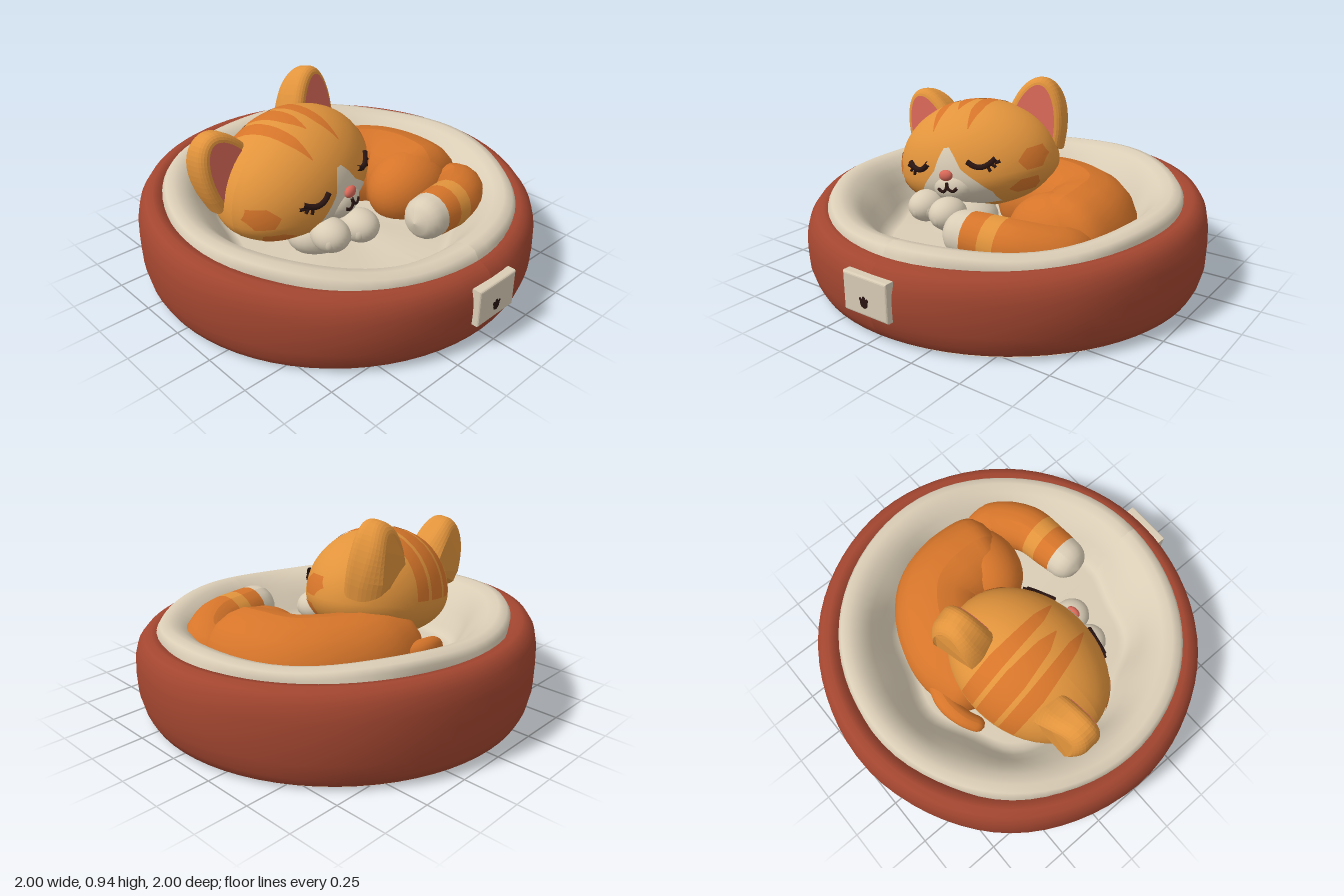
import * as THREE from 'three';
import { mergeGeometries } from 'three/addons/utils/BufferGeometryUtils.js';

const mat = (name, color) => new THREE.MeshStandardMaterial({ name, color, side: THREE.DoubleSide });
const V = (x, y, z) => new THREE.Vector3(x, y, z);

export function createModel() {
  const model = new THREE.Group();
  model.name = 'sleepingCatInBed';
  const red = mat('rust red fabric', 0xa34630);
  const cream = mat('cream', 0xdacdb6);
  const lightOrange = mat('light orange fur', 0xe2943c);
  const orange = mat('orange fur', 0xd6752a);
  const pink = mat('pink', 0xd86858);
  const dark = mat('dark brown', 0x2a1512);

  const add = (parent, name, geometry, material, pos = [0, 0, 0]) => {
    const m = new THREE.Mesh(geometry, material);
    m.name = name;
    m.position.set(...pos);
    parent.add(m);
    return m;
  };
  const ball = (parent, name, material, pos, radii) =>
    add(parent, name, new THREE.SphereGeometry(1, 28, 18), material, pos).scale.set(...radii);

  // Moves every vertex of a geometry by a rule
  function reshape(g, rule) {
    const p = g.attributes.position, v = V();
    for (let i = 0; i < p.count; i++) {
      rule(v.fromBufferAttribute(p, i));
      p.setXYZ(i, v.x, v.y, v.z);
    }
    g.computeVertexNormals();
    return g;
  }

  // Tube with changing radius and round ends; bands = [[endFraction, materialIndex], ...]
  function sweep(points, radii, cap, bands) {
    const curve = new THREE.CatmullRomCurve3(points.map(p => V(...p)));
    const n = 40, m = 18, len = curve.getLength();
    const g = new THREE.TubeGeometry(curve, n, 1, m);
    const p = g.attributes.position, v = V();
    for (let i = 0; i <= n; i++) {
      const u = i / n, c = curve.getPointAt(u);
      const f = u * (radii.length - 1), k = Math.min(Math.floor(f), radii.length - 2);
      const end = Math.min(1, Math.min(u, 1 - u) * len / cap);
      const r = THREE.MathUtils.lerp(radii[k], radii[k + 1], f - k) * Math.sqrt(1 - (1 - end) ** 2);
      for (let j = 0; j <= m; j++) {
        const id = i * (m + 1) + j;
        v.fromBufferAttribute(p, id).sub(c).multiplyScalar(r).add(c);
        p.setXYZ(id, v.x, v.y, v.z);
      }
    }
    g.computeVertexNormals();
    let start = 0;
    for (const [end, index] of bands || []) {
      const stop = Math.round(end * n);
      g.addGroup(start * m * 6, (stop - start) * m * 6, index);
      start = stop;
    }
    return g;
  }

  // ---- Bed: lathed profiles, low at the front and softly uneven ----
  function bedPart(name, profile, material, lump, shiftZ = 0) {
    const g = new THREE.LatheGeometry(profile.map(p => new THREE.Vector2(...p)), 72);
    add(model, name, reshape(g, v => {
      const a = Math.atan2(v.z, v.x), h = THREE.MathUtils.clamp((v.y - 0.05) / 0.36, 0, 1);
      const s = 1 + lump * h * (1 - h) * Math.cos(8 * a + 0.6);
      v.y += h * (-0.055 * v.z - 0.012 * v.z * v.z + lump * 0.08 * Math.sin(5 * a + 1));
      v.x *= s * 1.012;
      v.z = v.z * s + shiftZ - 0.012;
    }), material);
  }
  bedPart('bedBase', [[0.001, 0.025], [0.19, 0.025], [0.2, 0.012], [0.21, 0.025], [0.57, 0.025], [0.59, 0.016],
    [0.77, 0.016], [0.79, 0.004], [0.82, 0.012], [0.92, 0.002]], cream, 0);
  bedPart('bedWall', [[0.91, 0.002], [0.945, 0.02], [0.965, 0.06], [0.983, 0.13], [0.986, 0.22], [0.983, 0.3],
    [0.968, 0.365], [0.94, 0.405], [0.905, 0.42], [0.865, 0.412], [0.84, 0.37]], red, 0.015);
  bedPart('bedLining', [[0.87, 0.38], [0.868, 0.425], [0.85, 0.452], [0.81, 0.462], [0.76, 0.445], [0.71, 0.4],
    [0.66, 0.33], [0.615, 0.25], [0.585, 0.215], [0.55, 0.205], [0.001, 0.205]], cream, 0.12, 0.02);

  // Label on the bed with a small paw mark
  const tagShape = new THREE.Shape();
  tagShape.moveTo(-0.115, -0.08).lineTo(0.115, -0.08).lineTo(0.115, 0.08).lineTo(-0.115, 0.08).closePath();
  add(model, 'bedLabel', new THREE.ExtrudeGeometry(tagShape,
    { depth: 0.03, bevelSize: 0.01, bevelThickness: 0.01, bevelSegments: 3 }), cream, [0, 0.22, 0.957]);
  const spots = [[0, -0.004, 0.022], [-0.018, 0.012, 0.009], [0, 0.019, 0.01], [0.018, 0.012, 0.009]];
  add(model, 'pawMark', mergeGeometries(spots.map(([x, y, r]) =>
    new THREE.CircleGeometry(r, 14).translate(x, y, 0))), dark, [-0.005, 0.193, 0.9985]);

  // ---- Curled body ----
  add(model, 'body', sweep([[-0.2, 0.28, -0.26], [0.15, 0.29, -0.29], [0.4, 0.29, -0.14], [0.45, 0.29, 0.08],
    [0.42, 0.28, 0.28]], [0.2, 0.23, 0.24, 0.24, 0.22], 0.14), orange);
  ball(model, 'haunch', orange, [0.38, 0.3, 0.13], [0.24, 0.2, 0.19]);
  add(model, 'tail', sweep([[0.5, 0.27, 0.15], [0.54, 0.3, 0.32], [0.4, 0.34, 0.44], [0.22, 0.355, 0.47],
    [0.02, 0.365, 0.49]], [0.11, 0.13, 0.125, 0.115, 0.1], 0.09,
  [[0.6, 0], [0.7, 1], [0.82, 0], [1, 2]]), [orange, lightOrange, cream]);
  add(model, 'backFold', sweep([[0.1, 0.3, -0.42], [-0.07, 0.33, -0.49], [-0.18, 0.32, -0.48], [-0.29, 0.27, -0.42]],
    [0.07, 0.055, 0.045, 0.04], 0.05), orange);
  ball(model, 'chest', cream, [-0.2, 0.27, 0.1], [0.2, 0.12, 0.15]);
  for (const [x, z] of [[-0.3, 0.26], [-0.14, 0.29]]) {
    ball(model, 'frontPaw', cream, [x, 0.34, z], [0.09, 0.08, 0.1]);
    for (const d of [-0.045, 0, 0.045])
      ball(model, 'toe', cream, [x + d, 0.335, z + 0.07 - Math.abs(d) * 0.5], [0.032, 0.042, 0.03]);
  }

  // ---- Head: a domed skull, shallower below the cheeks ----
  const head = new THREE.Group();
  head.name = 'head';
  head.position.set(-0.232, 0.49, -0.085);
  head.rotation.set(0, 0.18, 0.17, 'YXZ');
  model.add(head);
  const A = 0.435, B = 0.335, C = 0.335, LOW = 0.65;
  add(head, 'skull', reshape(new THREE.SphereGeometry(1, 48, 32), v => {
    v.set(v.x * A, v.y * B * (v.y < 0 ? LOW : 1), v.z * C);
  }), lightOrange);

  // Points just above the skull: over the top by angle, or on the face by height
  const over = (x, t, k = 1.008) => {
    const s = Math.sqrt(1 - (x / A) ** 2), y = B * s * Math.cos(t);
    return V(x, y < 0 ? y * LOW : y, C * s * Math.sin(t)).multiplyScalar(k);
  };
  const face = (x, y, k) =>
    over(x, Math.acos((y < 0 ? y / LOW : y) / (B * Math.sqrt(1 - (x / A) ** 2))), k);

  // Fur marking that follows the skull; rows = [angle or height, x start, x end]
  function marking(name, place, rows, material) {
    const pos = [], idx = [], steps = 6, across = 10, w = across + 1;
    const total = (rows.length - 1) * steps;
    for (let i = 0; i <= total; i++) {
      const k = Math.min(Math.floor(i / steps), rows.length - 2), f = i / steps - k;
      const [v, a, b] = rows[k].map((q, n) => THREE.MathUtils.lerp(q, rows[k + 1][n], f));
      for (let j = 0; j <= across; j++) pos.push(...place(a + (b - a) * j / across, v).toArray());
      if (i < total) for (let j = 0; j < across; j++) {
        const q = i * w + j;
        idx.push(q, q + w, q + 1, q + 1, q + w, q + w + 1);
      }
    }
    const g = new THREE.BufferGeometry();
    g.setAttribute('position', new THREE.Float32BufferAttribute(pos, 3));
    g.setIndex(idx);
    g.computeVertexNormals();
    add(head, name, g, material);
  }
  marking('crownStripe', over, [[0.4, 0, 0.005], [0.1, -0.035, 0.035], [-0.5, -0.055, 0.055], [-1.5, -0.055, 0.055]], orange);
  marking('facePatch', face, [[0.155, -0.015, 0.015], [0.11, -0.045, 0.045], [0.05, -0.075, 0.075],
    [-0.02, -0.15, 0.15], [-0.08, -0.2, 0.2], [-0.15, -0.2, 0.2]], cream);
  ball(head, 'muzzle', cream, [0, -0.04, 0.27], [0.12, 0.085, 0.09]);
  ball(head, 'nose', pink, [0, 0.03, 0.35], [0.036, 0.028, 0.022]);

  const line = (pts, r) => new THREE.TubeGeometry(new THREE.CatmullRomCurve3(pts), 14, r, 8);

  // Ear shared by both sides: the back swells toward the base
  const earShape = new THREE.Shape();
  earShape.moveTo(-0.12, -0.06);
  earShape.bezierCurveTo(-0.12, 0.08, -0.06, 0.2, 0, 0.2);
  earShape.bezierCurveTo(0.06, 0.2, 0.12, 0.08, 0.12, -0.06);
  const earGeo = reshape(new THREE.ExtrudeGeometry(earShape,
    { depth: 0.03, bevelThickness: 0.045, bevelSize: 0.04, bevelSegments: 5, curveSegments: 14 }), v => {
    const low = THREE.MathUtils.clamp(1 - v.y / 0.24, 0, 1);
    if (v.z < 0.015) v.z -= 0.13 * low * (1 - (v.x / 0.17) ** 2);
  });
  const innerGeo = new THREE.ShapeGeometry(earShape, 14);

  for (const s of [-1, 1]) {
    marking('sideStripe', over, [[0.8, s * 0.095, s * 0.1], [0.4, s * 0.075, s * 0.13],
      [-0.5, s * 0.08, s * 0.16], [-1.5, s * 0.08, s * 0.16]], orange);
    marking('cheekStripe', face, [[0.1, s * 0.36, s * 0.405], [0.05, s * 0.33, s * 0.425], [0, s * 0.36, s * 0.41]], orange);
    marking('lowerCheekStripe', face, [[-0.04, s * 0.33, s * 0.39], [-0.08, s * 0.27, s * 0.38], [-0.11, s * 0.29, s * 0.35]], orange);

    const ear = new THREE.Group();
    ear.name = s > 0 ? 'leftEar' : 'rightEar';
    ear.position.set(s * 0.305, 0.17, -0.1);
    ear.rotation.set(-0.14, s * 0.1, -s * 0.29);
    head.add(ear);
    add(ear, 'earShell', earGeo, lightOrange, [0, 0, -0.03]);
    add(ear, 'innerEar', innerGeo, pink, [0, 0, 0.048]);

    // Closed eye: a sagging arc with lashes at the outer end
    const arc = [-1, -0.5, 0, 0.5, 1].map(q => face(s * (0.175 + q * 0.065), 0.052 + 0.032 * q * q, 1.01));
    const lashes = [[0.2, 0.215, 0.026], [0.222, 0.24, 0.042], [0.235, 0.26, 0.068]].map(([x0, x1, y1]) =>
      line([face(s * x0, 0.063, 1.01), face(s * x1, y1, 1.012)], 0.008));
    add(head, 'closedEye', mergeGeometries([line(arc, 0.014), ...lashes]), dark);

    // Half of the mouth
    add(head, 'mouth', line([V(0, -0.005, 0.354), V(s * 0.006, -0.035, 0.36), V(s * 0.028, -0.05, 0.358),
      V(s * 0.053, -0.035, 0.351)], 0.008), dark);
  }
  return model;
}
